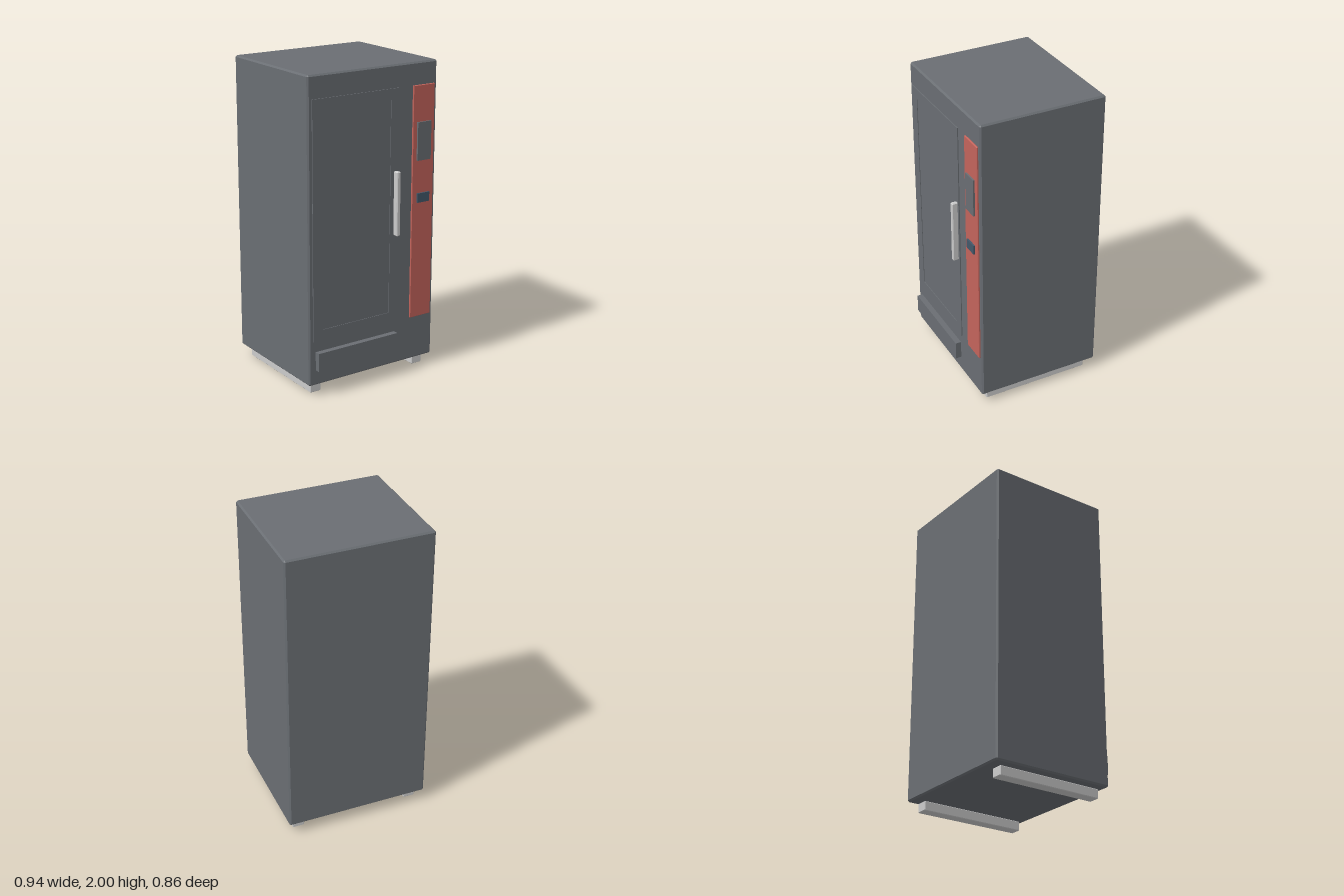
import * as THREE from 'three';
import { ConvexGeometry } from 'three/addons/geometries/ConvexGeometry.js';

const material = (color) => new THREE.MeshStandardMaterial({ color });

// Box with every edge chamfered by c
function chamferedBox(w, h, d, c) {
  const points = [];
  for (const x of [-1, 1]) for (const y of [-1, 1]) for (const z of [-1, 1]) {
    for (let axis = 0; axis < 3; axis++) {
      const inset = [c, c, c];
      inset[axis] = 0;
      points.push(new THREE.Vector3(
        x * (w / 2 - inset[0]), y * (h / 2 - inset[1]), z * (d / 2 - inset[2])));
    }
  }
  return new ConvexGeometry(points);
}

export function createModel() {
  const model = new THREE.Group();
  model.name = 'vendingMachine';
  const dark = material(0x6a6e73);
  const red = material(0xc4645c);
  const slotBlue = material(0x43586a);
  const grey = material(0xcccccc);

  // Adds a box given by its extents on each axis
  function addBox(name, mat, [x0, x1], [y0, y1], [z0, z1], chamfer = 0) {
    const size = [x1 - x0, y1 - y0, z1 - z0];
    const geometry = chamfer ? chamferedBox(...size, chamfer) : new THREE.BoxGeometry(...size);
    const mesh = new THREE.Mesh(geometry, mat);
    mesh.name = name;
    mesh.position.set((x0 + x1) / 2, (y0 + y1) / 2, (z0 + z1) / 2);
    model.add(mesh);
  }

  // Cabinet
  addBox('cabinet', dark, [-0.472, 0.472], [0.07, 2], [-0.432, 0.39], 0.01);

  // Door frame with a recessed pane
  const frameZ = [0.38, 0.396];
  addBox('doorTopRail', dark, [-0.443, 0.193], [1.79, 1.858], frameZ);
  addBox('doorBottomRail', dark, [-0.443, 0.193], [0.358, 0.428], frameZ);
  addBox('doorRightStile', dark, [-0.443, -0.373], [0.428, 1.79], frameZ);
  addBox('doorLeftStile', dark, [0.123, 0.193], [0.428, 1.79], frameZ);
  addBox('doorPane', dark, [-0.373, 0.123], [0.428, 1.79], [0.38, 0.392]);
  addBox('doorHandle', grey, [0.15, 0.177], [0.935, 1.345], [0.388, 0.432], 0.005);

  // Control panel
  addBox('controlPanel', red, [0.288, 0.45], [0.357, 1.858], [0.38, 0.4], 0.003);
  addBox('display', dark, [0.318, 0.42], [1.388, 1.63], [0.39, 0.411]);
  addBox('coinSlot', slotBlue, [0.323, 0.415], [1.118, 1.178], [0.39, 0.411]);

  // Delivery tray
  addBox('deliveryTray', dark, [-0.424, 0.17], [0.17, 0.29], [0.38, 0.427]);

  // Foot rails
  for (const [name, x] of [['rightFootRail', -0.393], ['leftFootRail', 0.393]]) {
    addBox(name, grey, [x - 0.038, x + 0.038], [0, 0.06], [-0.375, 0.34], 0.004);
  }

  return model;
}
